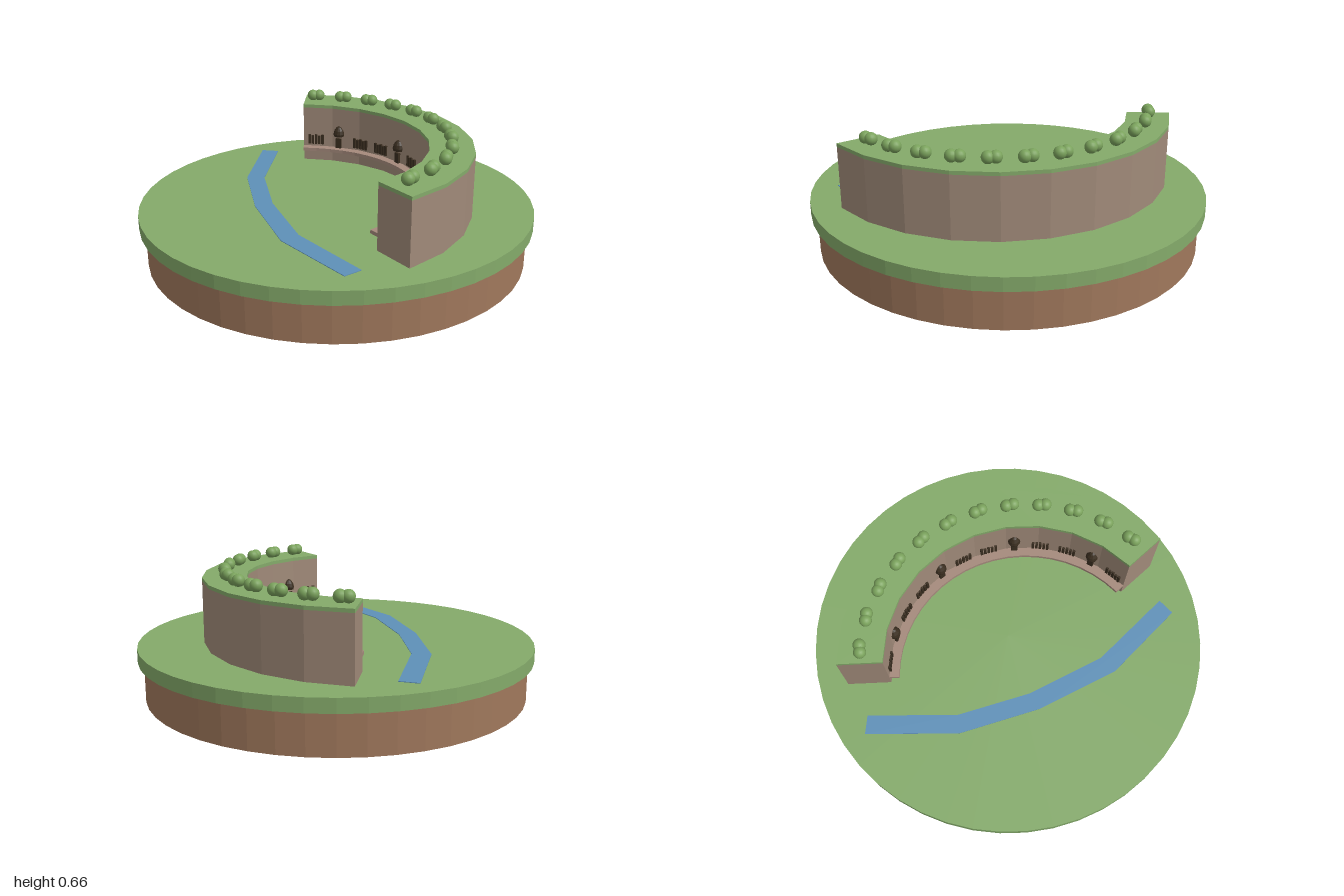
import * as THREE from 'three';

const mat = (name, color, flat = true) => {
  const m = new THREE.MeshStandardMaterial({ color, flatShading: flat });
  m.name = name;
  return m;
};

export function createModel() {
  const grass = mat('grass', 0x84aa6a);
  const earth = mat('earth', 0xa0785c);
  const rock = mat('rock', 0xa08a79);
  const stone = mat('ledge stone', 0xa58a7c);
  const foliage = mat('foliage', 0x7aa25c, false);
  const dark = mat('dark timber', 0x3a2e20);
  const water = mat('water', 0x5e90b8);

  const model = new THREE.Group();
  model.name = 'cliffDiorama';
  const add = (parent, name, geo, material) => {
    const mesh = new THREE.Mesh(geo, material);
    mesh.name = name;
    parent.add(mesh);
    return mesh;
  };

  // Round base
  add(model, 'earthBase', new THREE.CylinderGeometry(0.97, 0.97, 0.2, 48), earth).position.y = 0.1;
  add(model, 'grassPlate', new THREE.CylinderGeometry(1, 1, 0.068, 48), grass).position.y = 0.234;

  // Curved cliff, all parts placed by angle around its own centre
  const cliff = new THREE.Group();
  cliff.name = 'cliff';
  cliff.position.set(-0.08, 0, 0.225);
  model.add(cliff);
  const rad = THREE.MathUtils.degToRad;
  const ARC = 140;
  const arcSlab = (r0, r1, y0, y1, steps) => {
    const pts = [];
    const at = (r, i) => {
      const a = rad(ARC * i / steps);
      return new THREE.Vector2(r * Math.cos(a), r * Math.sin(a));
    };
    for (let i = 0; i <= steps; i++) pts.push(at(r1, i));
    for (let i = steps; i >= 0; i--) pts.push(at(r0, i));
    const geo = new THREE.ExtrudeGeometry(new THREE.Shape(pts), { depth: y1 - y0, bevelEnabled: false });
    return geo.rotateX(-Math.PI / 2).translate(0, y0, 0);
  };
  add(cliff, 'cliffWall', arcSlab(0.69, 0.91, 0.268, 0.58, 10), rock);
  add(cliff, 'cliffGrassCap', arcSlab(0.69, 0.91, 0.58, 0.598, 10), grass);
  add(cliff, 'ledge', arcSlab(0.64, 0.695, 0.335, 0.353, 20), stone);

  // Local x points outward from the centre, local z runs along the arc
  const station = (name, degrees, r, y) => {
    const g = new THREE.Group();
    const a = rad(degrees);
    g.name = name;
    g.position.set(r * Math.cos(a), y, -r * Math.sin(a));
    g.rotation.y = a;
    cliff.add(g);
    return g;
  };

  // Domed doorways, each with a row of dark posts on both sides
  const domeProfile = [[0, 0], [0.029, 0], [0.033, 0.014], [0.028, 0.034], [0.015, 0.052], [0, 0.061]];
  const dome = new THREE.LatheGeometry(domeProfile.map(p => new THREE.Vector2(...p)), 12);
  const door = new THREE.BoxGeometry(0.03, 0.056, 0.032);
  for (let i = 0; i < 4; i++) {
    const angle = ARC * (i + 0.5) / 4;
    const entry = station('doorway', angle, 0.687, 0.353);
    add(entry, 'door', door, dark).position.y = 0.028;
    add(entry, 'doorDome', dome, dark).position.y = 0.069;
    for (const side of [-1, 1]) {
      for (let k = -2; k <= 2; k++) {
        const h = 0.056 - 0.006 * Math.abs(k % 2);
        const post = station('wallPost', angle + side * 11.5 + k * 1.6, 0.686, 0.366 + h / 2);
        add(post, 'post', new THREE.BoxGeometry(0.02, h, 0.013), dark);
      }
    }
  }

  // Paired bushes along the cliff top
  const ball = new THREE.SphereGeometry(0.031, 16, 12);
  for (let i = 0; i < 12; i++) {
    const bush = station('bushPair', 6.7 + 11.7 * i, 0.797, 0.626);
    for (const side of [-1, 1]) {
      add(bush, 'bush', ball, foliage).position.set(side * 0.003, 0, side * 0.018);
    }
  }

  // Flat river ribbon
  const banks = [
    [-0.88, -0.1], [-0.53, 0.217], [-0.15, 0.397], [0.27, 0.515], [0.722, 0.492],
    [0.722, 0.4], [0.268, 0.415], [-0.13, 0.305], [-0.475, 0.14], [-0.81, -0.165],
  ];
  const river = new THREE.ExtrudeGeometry(
    new THREE.Shape(banks.map(([x, z]) => new THREE.Vector2(x, -z))),
    { depth: 0.004, bevelEnabled: false });
  add(model, 'river', river.rotateX(-Math.PI / 2).translate(0, 0.267, 0), water);

  return model;
}
